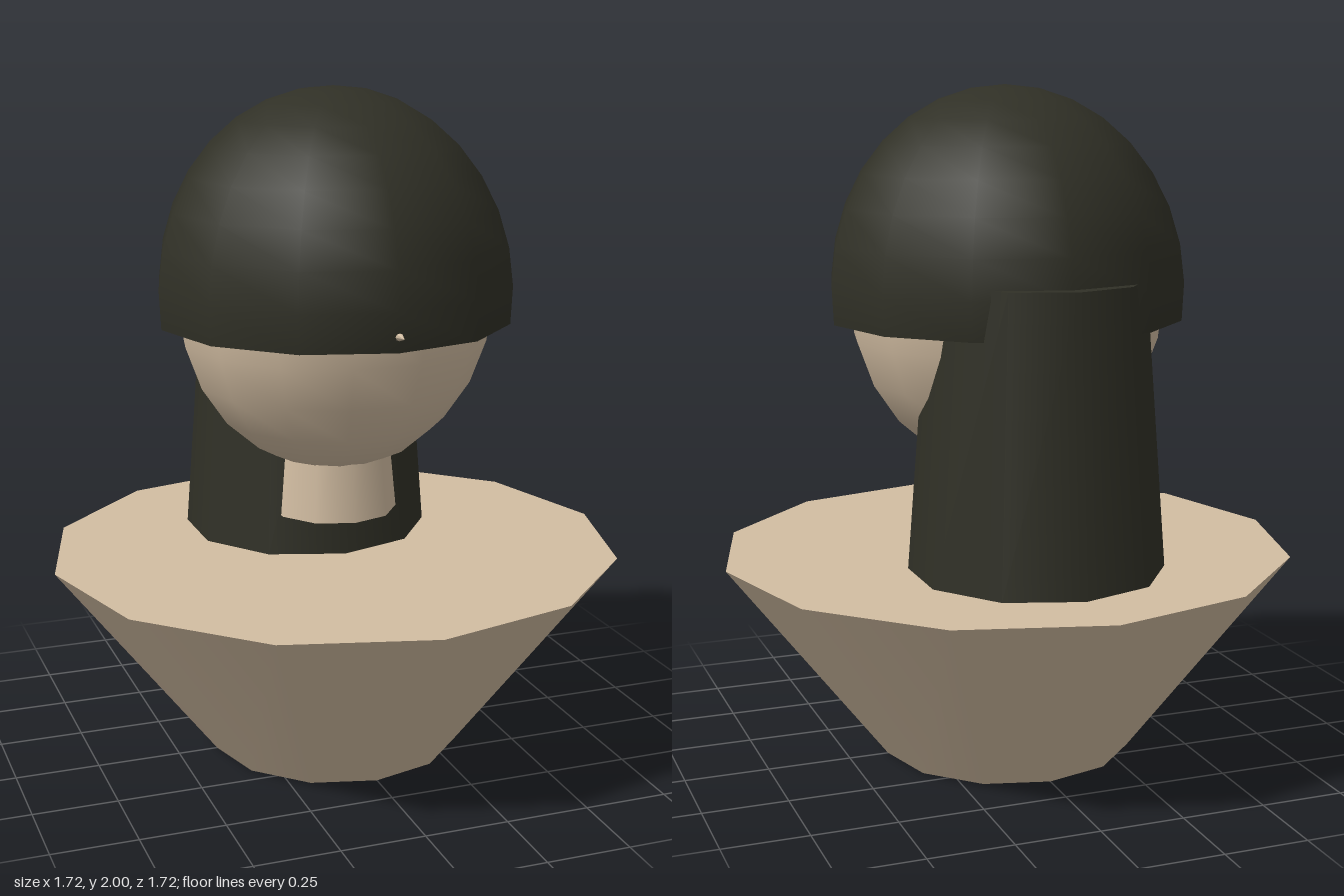
import * as THREE from 'three';

export function createModel() {
  const group = new THREE.Group();
  const skin = new THREE.MeshStandardMaterial({ color: 0xd2bda2 });
  skin.name = 'warm tan';
  const hair = new THREE.MeshStandardMaterial({ color: 0x303026, side: THREE.DoubleSide });
  hair.name = 'dark olive hair';

  const add = (name, geometry, material, x, y, z) => {
    const mesh = new THREE.Mesh(geometry, material);
    mesh.name = name;
    mesh.position.set(x, y, z);
    group.add(mesh);
    return mesh;
  };

  // Flared twelve-sided body, wide at the shoulders
  add('body', new THREE.CylinderGeometry(0.86, 0.38, 0.62, 12), skin, 0, 0.31, 0);

  // Neck, rising into the head
  add('neck', new THREE.CylinderGeometry(0.155, 0.19, 0.36, 10), skin, 0, 0.92, 0);

  // Slightly tall head
  add('head', new THREE.SphereGeometry(0.47, 14, 12), skin, 0, 1.4, 0).scale.y = 1.125;

  // Small pointed nose that just pokes through the fringe
  add('nose', new THREE.ConeGeometry(0.038, 0.12, 8).rotateX(Math.PI / 2), skin, 0, 1.365, 0.5);

  // Open hair cap, reaching just below its widest ring
  const capAngle = THREE.MathUtils.degToRad(98.5);
  add('hairCap', new THREE.SphereGeometry(0.53, 12, 9, 0, Math.PI * 2, 0, capAngle), hair, 0, 1.408, 0)
    .scale.y = 1.117;

  // Long hair down the back
  add('backHair', new THREE.CylinderGeometry(0.31, 0.374, 0.84, 10), hair, 0, 1.04, -0.264);

  return group;
}
